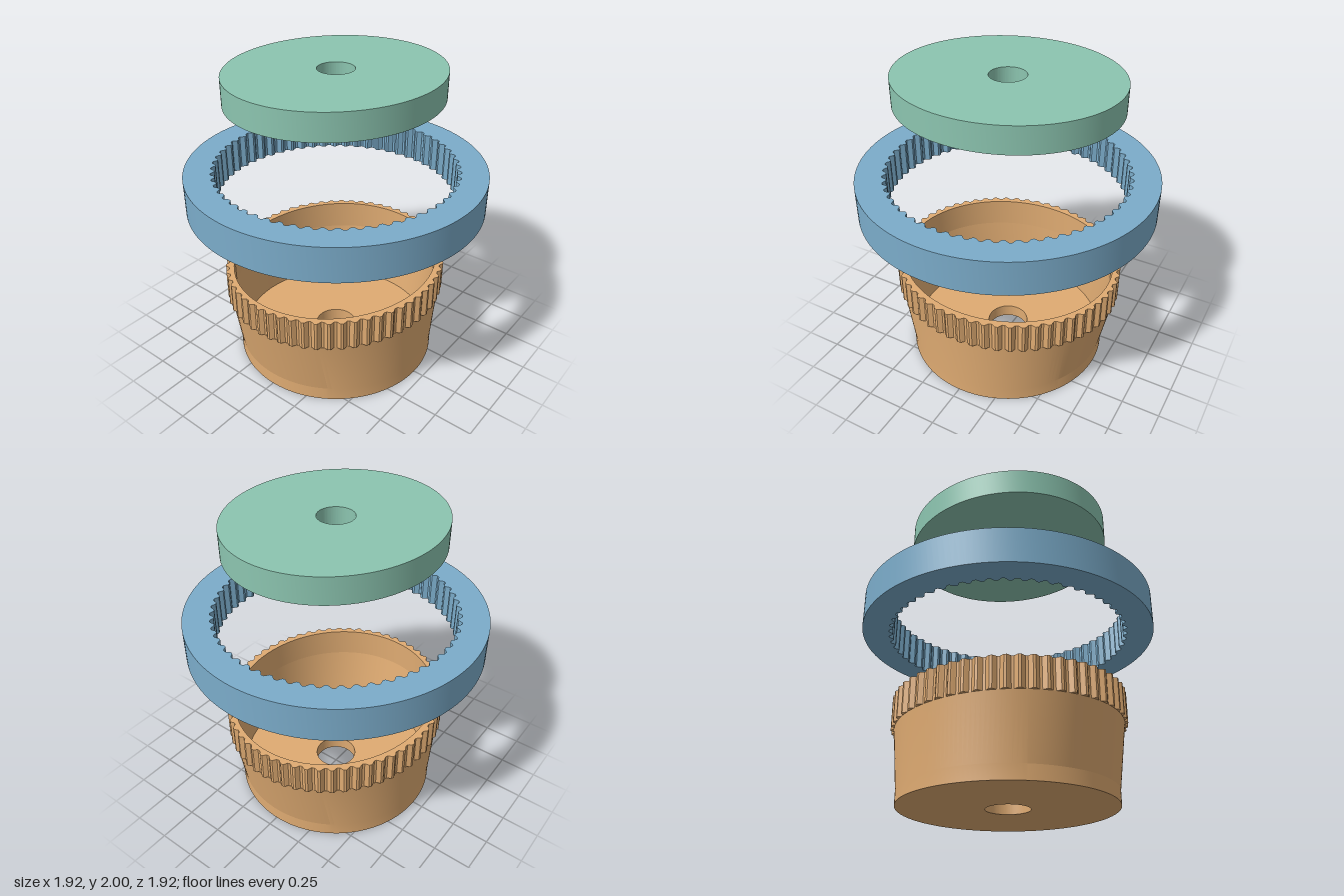
import * as THREE from 'three';
import { toCreasedNormals } from 'three/addons/utils/BufferGeometryUtils.js';

const SEGMENTS = 160;

function makeMesh(name, geometry, color, crease) {
  const mesh = new THREE.Mesh(
    toCreasedNormals(geometry, crease),
    new THREE.MeshStandardMaterial({ color })
  );
  mesh.name = name;
  return mesh;
}

// Closed elliptical outline
function ellipse(rx, rz) {
  return Array.from({ length: SEGMENTS }, (_, i) => {
    const a = (i / SEGMENTS) * Math.PI * 2;
    return new THREE.Vector2(rx * Math.cos(a), rz * Math.sin(a));
  });
}

// Closed outline with rounded teeth, peak radius at angle 0
function toothed(rx, rz, depth, teeth, steps = 10) {
  const n = teeth * steps;
  return Array.from({ length: n }, (_, i) => {
    const a = (i / n) * Math.PI * 2;
    const wave = THREE.MathUtils.clamp(0.5 + 0.65 * Math.cos(a * teeth), 0, 1);
    const r = depth * (wave - 1);
    return new THREE.Vector2((rx + r) * Math.cos(a), (rz + r) * Math.sin(a));
  });
}

// Upright plate from an outline and a hole, between two heights
function plate(outline, hole, y0, y1) {
  const shape = new THREE.Shape(outline);
  shape.holes.push(new THREE.Path(hole));
  return new THREE.ExtrudeGeometry(shape, { depth: y1 - y0, bevelEnabled: false })
    .rotateX(-Math.PI / 2)
    .translate(0, y0, 0);
}

// Lathe whose profile points [rx, rz, y] turn from circles into ellipses
function ellipticLathe(profile) {
  const geometry = new THREE.LatheGeometry(
    profile.map(([rx, , y]) => new THREE.Vector2(rx, y)), SEGMENTS);
  const pos = geometry.attributes.position;
  for (let i = 0; i < pos.count; i++) {
    const [rx, rz] = profile[i % profile.length];
    pos.setZ(i, pos.getZ(i) * rz / rx);
  }
  return geometry;
}

export function createModel() {
  const group = new THREE.Group();
  const orange = 0xdfab72, blue = 0x7bacca, green = 0x8cc5b0;

  // Flexible cup: round floor with a bore, wall flaring into an ellipse
  const cup = new THREE.Group();
  cup.name = 'flexibleCup';
  cup.add(makeMesh('cupBody', ellipticLathe([
    [0.14, 0.14, 0.09],
    [0.14, 0.14, 0],
    [0.68, 0.68, 0],
    [0.68, 0.68, 0.09],
    [0.757, 0.696, 0.485],
    [0.725, 0.66, 0.485],
    [0.65, 0.65, 0.09],
    [0.14, 0.14, 0.09],
  ]), orange, 0.15));

  // Toothed rim of the cup
  cup.add(makeMesh('toothedRim',
    plate(toothed(0.776, 0.717, 0.022, 58), ellipse(0.725, 0.66), 0.485, 0.683), orange, 0.4));
  group.add(cup);

  // Rigid outer ring with internal teeth
  group.add(makeMesh('internalGearRing',
    plate(ellipse(0.962, 0.962), toothed(0.792, 0.792, 0.025, 60), 1.138, 1.365), blue, 0.4));

  // Elliptical drive plug with a centre bore
  group.add(makeMesh('ellipticalPlug',
    plate(ellipse(0.714, 0.65), ellipse(0.116, 0.116), 1.83, 2), green, 0.4));

  return group;
}
